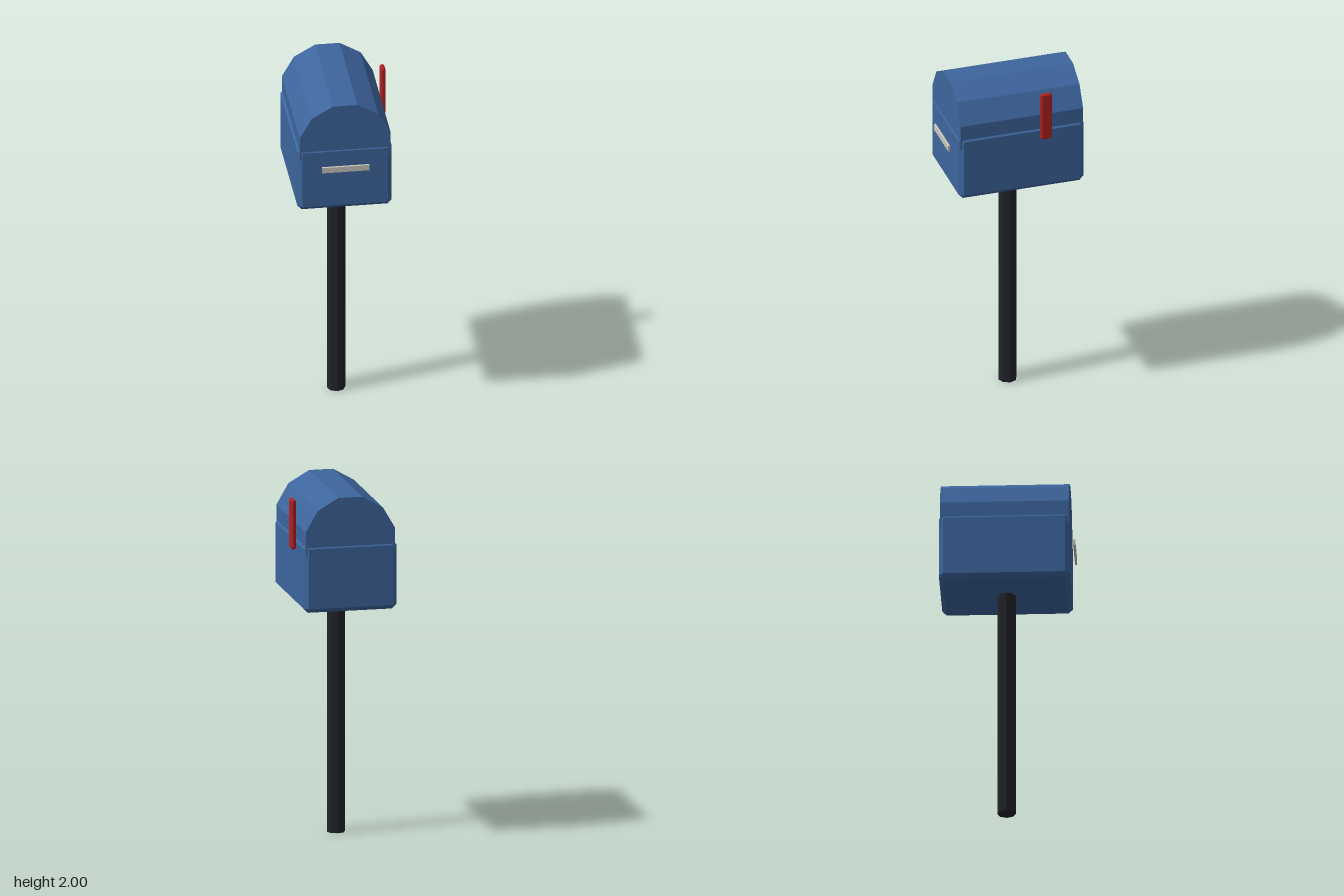
import * as THREE from 'three';
import { ConvexGeometry } from 'three/addons/geometries/ConvexGeometry.js';

const material = (name, color) => {
  const m = new THREE.MeshStandardMaterial({ color, flatShading: true });
  m.name = name;
  return m;
};

// Box with every edge and corner cut by c
function chamferBox(w, h, d, c) {
  const half = [w / 2, h / 2, d / 2];
  const points = [];
  for (const sx of [-1, 1]) for (const sy of [-1, 1]) for (const sz of [-1, 1]) {
    const s = [sx, sy, sz];
    for (let axis = 0; axis < 3; axis++) {
      points.push(new THREE.Vector3(...half.map((v, i) => s[i] * (i === axis ? v : v - c))));
    }
  }
  return new ConvexGeometry(points);
}

export function createModel() {
  const group = new THREE.Group();
  group.name = 'mailbox';
  const blue = material('blue paint', 0x3d659d);
  const black = material('dark post', 0x21212a);
  const red = material('red flag', 0xb02222);
  const pale = material('pale metal', 0xc9c6bc);

  const add = (name, geometry, mat, x, y, z) => {
    const mesh = new THREE.Mesh(geometry, mat);
    mesh.name = name;
    mesh.position.set(x, y, z);
    group.add(mesh);
  };

  // Eight-sided post, set into the underside of the box
  add('post', new THREE.CylinderGeometry(0.052, 0.052, 1.39, 8), black, -0.015, 0.695, -0.012);

  // Lower box
  add('box', chamferBox(0.534, 0.394, 0.734, 0.025), blue, -0.015, 1.542, -0.015);

  // Twelve-sided barrel roof, lower half sunk in the box
  const roof = new THREE.CylinderGeometry(0.266, 0.266, 0.722, 12);
  roof.rotateY(Math.PI / 12).rotateX(Math.PI / 2);
  add('roof', roof, blue, -0.014, 1.743, -0.014);

  // Raised flag on the left side
  add('flag', chamferBox(0.027, 0.288, 0.066, 0.008), red, 0.267, 1.813, -0.149);

  // Handle bar in front of the door
  add('handle', new THREE.BoxGeometry(0.267, 0.034, 0.012), pale, -0.015, 1.611, 0.373);

  return group;
}
